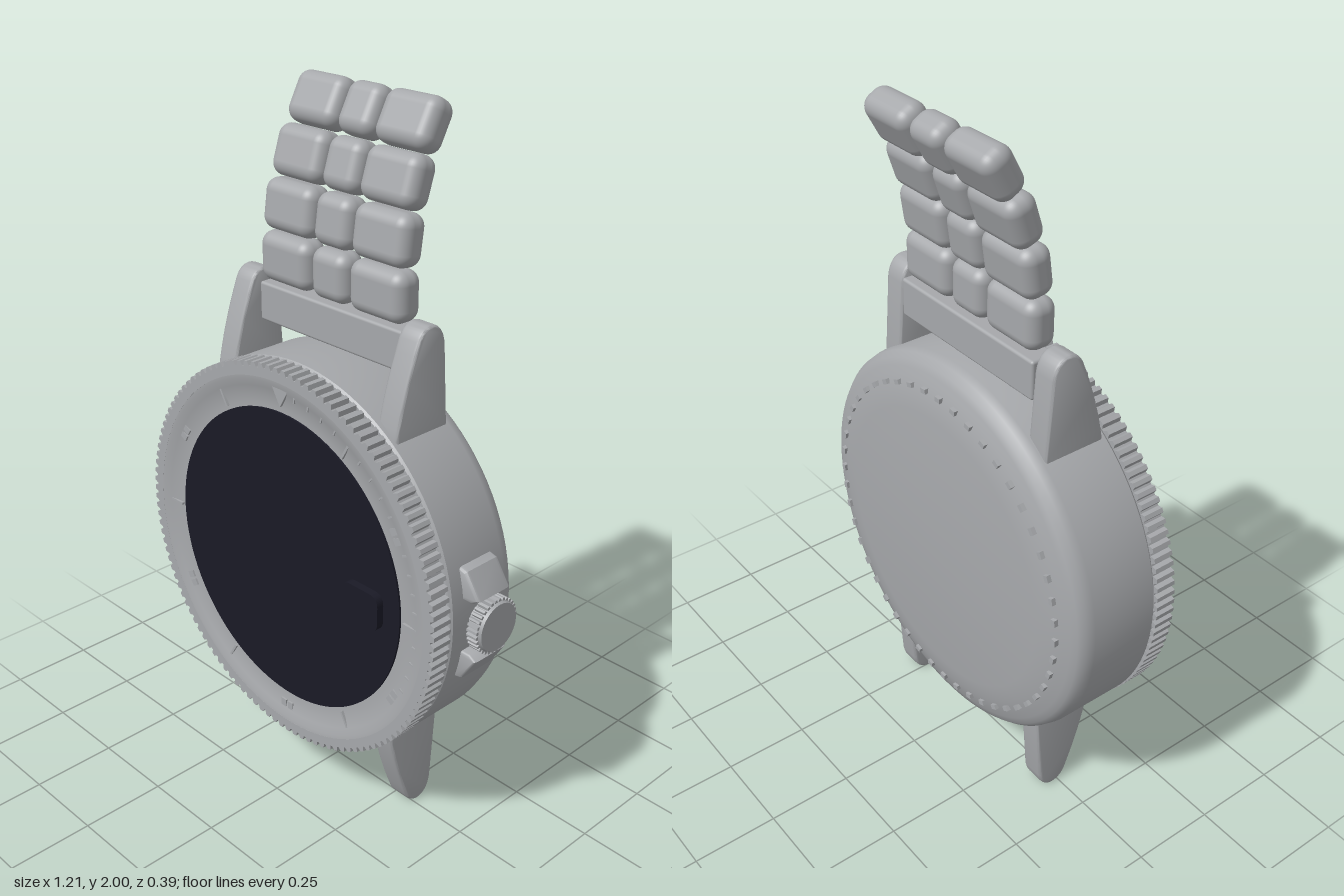
import * as THREE from 'three';
import { toCreasedNormals } from 'three/addons/utils/BufferGeometryUtils.js';
import { RoundedBoxGeometry } from 'three/addons/geometries/RoundedBoxGeometry.js';

const CX = -0.034, CY = 0.743; // centre of the dial

export function createModel() {
  const steel = new THREE.MeshStandardMaterial({ color: 0xa6a8ab });
  steel.name = 'steel';
  const darkGlass = new THREE.MeshStandardMaterial({ color: 0x1a1a26 });
  darkGlass.name = 'dark glass';

  const watch = new THREE.Group();
  watch.name = 'watch';
  const head = new THREE.Group();
  head.name = 'watchHead';
  head.position.set(CX, CY, 0);
  watch.add(head);

  const add = (parent, name, geometry, material = steel, x = 0, y = 0, z = 0) => {
    const mesh = new THREE.Mesh(geometry, material);
    mesh.name = name;
    mesh.position.set(x, y, z);
    parent.add(mesh);
    return mesh;
  };
  // Profile of [radius, z] turned about the z axis, from back to front
  const turned = (profile, crease = 0.6) => toCreasedNormals(
    new THREE.LatheGeometry(profile.map(([r, z]) => new THREE.Vector2(r, z)), 96).rotateX(Math.PI / 2), crease);
  // Toothed outline for the bezel and crown
  const toothed = (outer, inner, teeth) => {
    const points = [];
    for (let i = 0; i < teeth; i++) {
      [[0, inner], [0.2, outer], [0.6, outer], [0.8, inner]].forEach(([f, r]) => {
        const a = ((i + f) / teeth) * Math.PI * 2;
        points.push(new THREE.Vector2(Math.cos(a) * r, Math.sin(a) * r));
      });
    }
    return new THREE.Shape(points);
  };
  const polygon = (points) => new THREE.Shape(points.map(([x, y]) => new THREE.Vector2(x, y)));

  // Case with rounded rear edge and slightly domed back
  add(head, 'case', turned([
    [0, -0.166], [0.42, -0.165], [0.47, -0.158], [0.51, -0.147], [0.53, -0.139],
    [0.55, -0.132], [0.565, -0.115], [0.571, -0.09], [0.571, 0.11], [0.565, 0.117], [0.54, 0.117], [0.54, 0.13],
  ]));

  // Ring of studs on the case back
  for (let i = 0; i < 48; i++) {
    const a = (i / 48) * Math.PI * 2;
    const stud = add(head, 'backStud', new THREE.BoxGeometry(0.014, 0.02, 0.016), steel,
      Math.cos(a) * 0.49, Math.sin(a) * 0.49, -0.155);
    stud.rotation.z = a;
  }

  // Knurled bezel ring and its dished insert
  const ring = toothed(0.574, 0.561, 120);
  ring.holes.push(new THREE.Path().absarc(0, 0, 0.535, 0, Math.PI * 2, true));
  add(head, 'bezelRing', new THREE.ExtrudeGeometry(ring,
    { depth: 0.062, bevelEnabled: false, curveSegments: 48 }), steel, 0, 0, 0.122);
  add(head, 'bezelInsert', turned([
    [0.54, 0.184], [0.525, 0.183], [0.505, 0.176], [0.48, 0.17], [0.455, 0.167], [0.435, 0.167],
  ]));

  // Bezel markers: ridges, plates, minute ticks and a triangle at the top
  const marker = (name, angle, w, h, r, z) => {
    const mesh = add(head, name, new THREE.BoxGeometry(w, h, 0.008), steel,
      Math.sin(angle) * r, Math.cos(angle) * r, z);
    mesh.rotation.z = -angle;
  };
  for (let i = 1; i < 12; i++) {
    const a = (i / 12) * Math.PI * 2;
    if (i % 2) marker('bezelRidge', a, 0.007, 0.07, 0.49, 0.172);
    else for (const s of [-1, 1]) marker('bezelPlate', a + s * 0.028, 0.02, 0.034, 0.494, 0.171);
  }
  for (let i = 1; i < 20; i++) {
    if (i % 5) marker('minuteTick', (i / 60) * Math.PI * 2, 0.005, 0.028, 0.508, 0.174);
  }
  add(head, 'bezelTriangle', new THREE.ExtrudeGeometry(
    polygon([[-0.035, 0.525], [0, 0.465], [0.035, 0.525]]),
    { depth: 0.008, bevelEnabled: false }), steel, 0, 0, 0.172);

  // Dial glass and the small magnifier
  add(head, 'dialGlass', new THREE.CylinderGeometry(0.443, 0.443, 0.06, 96).rotateX(Math.PI / 2),
    darkGlass, 0, 0, 0.143);
  const lens = new THREE.Shape();
  const w = 0.066, h = 0.055, c = 0.032;
  lens.moveTo(-w + c, -h).lineTo(w - c, -h).quadraticCurveTo(w, -h, w, -h + c)
    .lineTo(w, h - c).quadraticCurveTo(w, h, w - c, h)
    .lineTo(-w + c, h).quadraticCurveTo(-w, h, -w, h - c)
    .lineTo(-w, -h + c).quadraticCurveTo(-w, -h, -w + c, -h);
  add(head, 'magnifier', new THREE.ExtrudeGeometry(lens,
    { depth: 0.03, bevelEnabled: false }), darkGlass, 0.318, 0, 0.165);

  // Lugs: side profile in (z, height above the dial centre), mirrored for the bottom
  const lugShape = new THREE.Shape();
  lugShape.moveTo(0.095, 0.35).lineTo(0.095, 0.457)
    .quadraticCurveTo(0.075, 0.57, 0.022, 0.7)
    .quadraticCurveTo(0.008, 0.731, -0.02, 0.731)
    .quadraticCurveTo(-0.055, 0.73, -0.064, 0.68)
    .lineTo(-0.08, 0.457).lineTo(-0.08, 0.35);
  const lugGeometry = toCreasedNormals(new THREE.ExtrudeGeometry(lugShape, {
    depth: 0.05, bevelThickness: 0.011, bevelSize: 0.006, bevelSegments: 3, curveSegments: 8,
  }).translate(0, 0, -0.025).rotateY(-Math.PI / 2), 0.7);
  for (const x of [-0.315, 0.315]) {
    add(head, 'topLug', lugGeometry, steel, x, 0, 0);
    // Half turn about z keeps the profile's front and back in place
    add(head, 'bottomLug', lugGeometry, steel, x, 0, 0).rotation.z = Math.PI;
  }

  // Crown with knurled rim, on a short stem
  add(head, 'crownStem', new THREE.CylinderGeometry(0.045, 0.045, 0.08, 32).rotateZ(Math.PI / 2),
    steel, 0.565, 0, 0.005);
  add(head, 'crown', new THREE.ExtrudeGeometry(toothed(0.079, 0.071, 32),
    { depth: 0.034, bevelEnabled: false }).rotateY(Math.PI / 2), steel, 0.592, 0, 0.005);
  add(head, 'crownCap', new THREE.CylinderGeometry(0.068, 0.073, 0.012, 32).rotateZ(-Math.PI / 2),
    steel, 0.628, 0, 0.005);

  // Crown guards above and below
  const guardGeometry = toCreasedNormals(new THREE.ExtrudeGeometry(
    polygon([[0.5, 0.082], [0.59, 0.082], [0.607, 0.092], [0.566, 0.155], [0.545, 0.16], [0.5, 0.16]]),
    { depth: 0.1, bevelThickness: 0.012, bevelSize: 0.006, bevelSegments: 3 }).translate(0, 0, -0.043), 0.7);
  add(head, 'upperCrownGuard', guardGeometry);
  // Turn over about x, then shift because the guard is off-centre in depth
  add(head, 'lowerCrownGuard', guardGeometry, steel, 0, 0, 0.014).rotation.x = Math.PI;

  // End bar between the upper lugs
  add(watch, 'strapBar', new RoundedBoxGeometry(0.55, 0.112, 0.078, 3, 0.008), steel, CX, 1.39, -0.035);

  // Bracelet: four curving rows of three pillow links
  const rows = [
    { y: 1.525, z: -0.03, tilt: 0, scale: 1 },
    { y: 1.667, z: -0.042, tilt: 0.14, scale: 0.99 },
    { y: 1.805, z: -0.077, tilt: 0.32, scale: 0.965 },
    { y: 1.935, z: -0.135, tilt: 0.5, scale: 0.94 },
  ];
  const sideLink = new RoundedBoxGeometry(0.195, 0.14, 0.09, 5, 0.036);
  const midLink = new RoundedBoxGeometry(0.135, 0.14, 0.09, 5, 0.036);
  rows.forEach(({ y, z, tilt, scale }) => {
    const row = new THREE.Group();
    row.name = 'braceletRow';
    row.position.set(CX, y, z);
    row.rotation.x = -tilt;
    row.scale.x = scale;
    add(row, 'leftLink', sideLink, steel, 0.172);
    add(row, 'middleLink', midLink);
    add(row, 'rightLink', sideLink, steel, -0.172);
    watch.add(row);
  });

  return watch;
}
